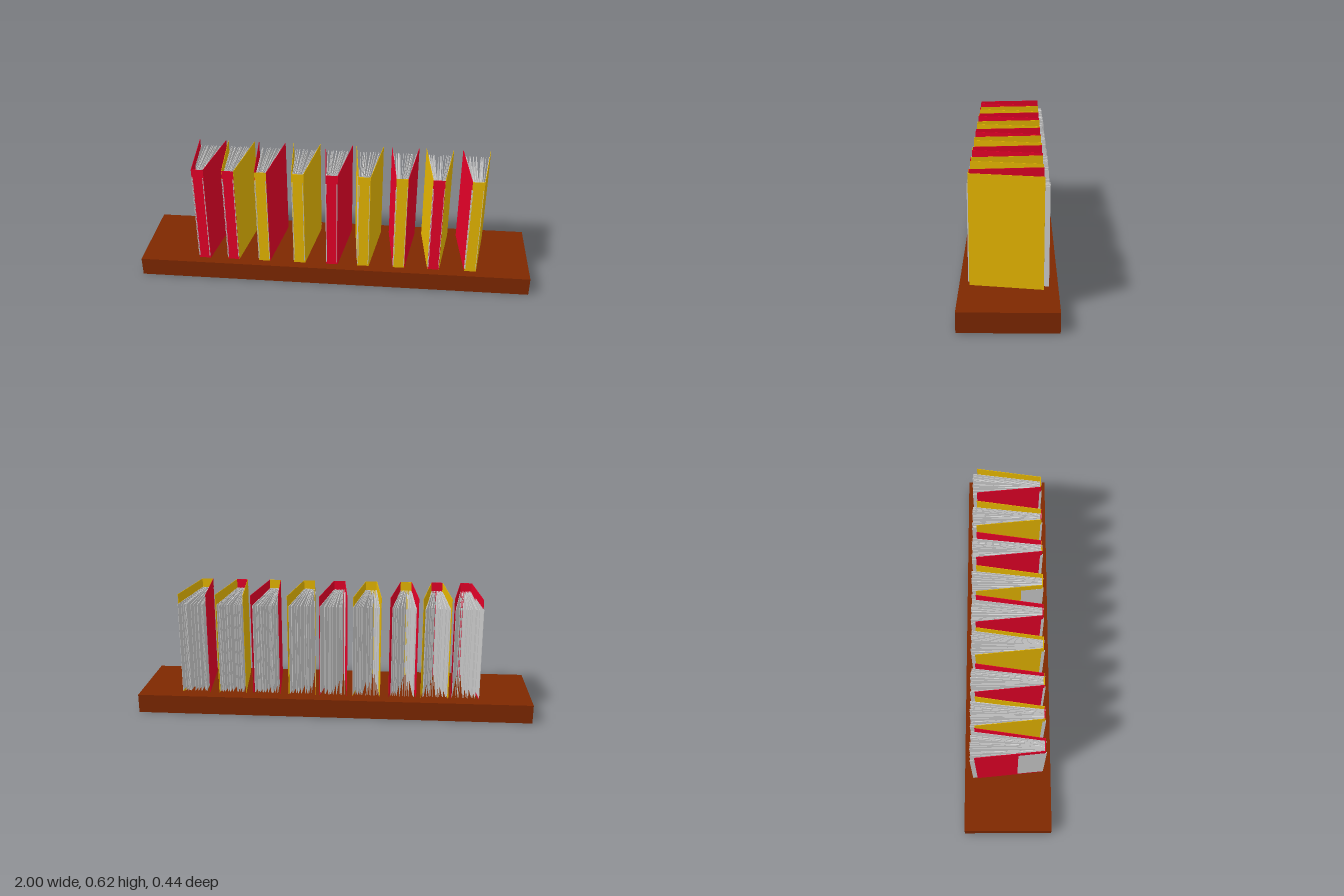
import * as THREE from 'three';

const mat = (name, color) => {
  const m = new THREE.MeshStandardMaterial({ color });
  m.name = name;
  return m;
};

// Upright thin board between two points on the floor plan, front edge to back edge
const THICKNESS = 0.002;
function sheet(name, x0, z0, x1, z1, bottom, top, material) {
  const dx = x1 - x0, dz = z1 - z0;
  const mesh = new THREE.Mesh(new THREE.BoxGeometry(Math.hypot(dx, dz), top - bottom, THICKNESS), material);
  mesh.position.set((x0 + x1) / 2, (bottom + top) / 2, (z0 + z1) / 2);
  mesh.rotation.y = Math.atan2(-dz, dx);
  mesh.name = name;
  return mesh;
}

// Small seeded generator for the page scatter
function seeded(seed) {
  let s = seed;
  return () => (s = (s * 16807) % 2147483647) / 2147483647;
}

export function createModel() {
  const group = new THREE.Group();
  group.name = 'bookShelf';
  const wood = mat('wood', 0x7e2800);
  const red = mat('redCover', 0xe60028);
  const yellow = mat('yellowCover', 0xe8b800);
  const paper = mat('paper', 0xcccccc);

  // Shelf board
  const shelf = new THREE.Mesh(new THREE.BoxGeometry(2, 0.095, 0.44), wood);
  shelf.position.y = 0.0475;
  shelf.name = 'shelf';
  group.add(shelf);

  // Each book: x of the spine, then colours of the -x cover, spine and +x cover
  const books = [
    [-0.671, red, red, red], [-0.52, yellow, red, yellow], [-0.358, red, yellow, red],
    [-0.175, yellow, yellow, yellow], [-0.007, red, red, red], [0.153, yellow, yellow, yellow],
    [0.336, red, yellow, red], [0.513, yellow, red, yellow], [0.7, red, yellow, yellow],
  ];
  const random = seeded(4711);
  const pageCount = 15;

  books.forEach(([x, coverA, spineColor, coverB], b) => {
    const book = new THREE.Group();
    book.name = `book${b + 1}`;
    book.position.x = x;

    // Spine and the two covers that open towards the back
    book.add(sheet('spine', -0.029, 0.174, 0.029, 0.174, 0.095, 0.615, spineColor));
    book.add(sheet('rightCover', -0.029, 0.175, -0.061, -0.155, 0.095, 0.615, coverA));
    book.add(sheet('leftCover', 0.029, 0.175, 0.078, -0.155, 0.095, 0.615, coverB));

    // Fanned pages, uneven at the open edge; the outermost ones slip past the spine
    for (let i = 0; i < pageCount; i++) {
      const t = i / (pageCount - 1);
      const outer = i < 2 || i === pageCount - 1;
      const front = -0.029 + 0.055 * t;
      const back = -0.054 + 0.122 * t + (random() - 0.5) * 0.018;
      const backZ = -0.172 - random() * 0.008;
      book.add(sheet('page', front, outer ? 0.18 : 0.172, back, backZ, 0.11, 0.57, paper));
    }
    group.add(book);
  });
  return group;
}
